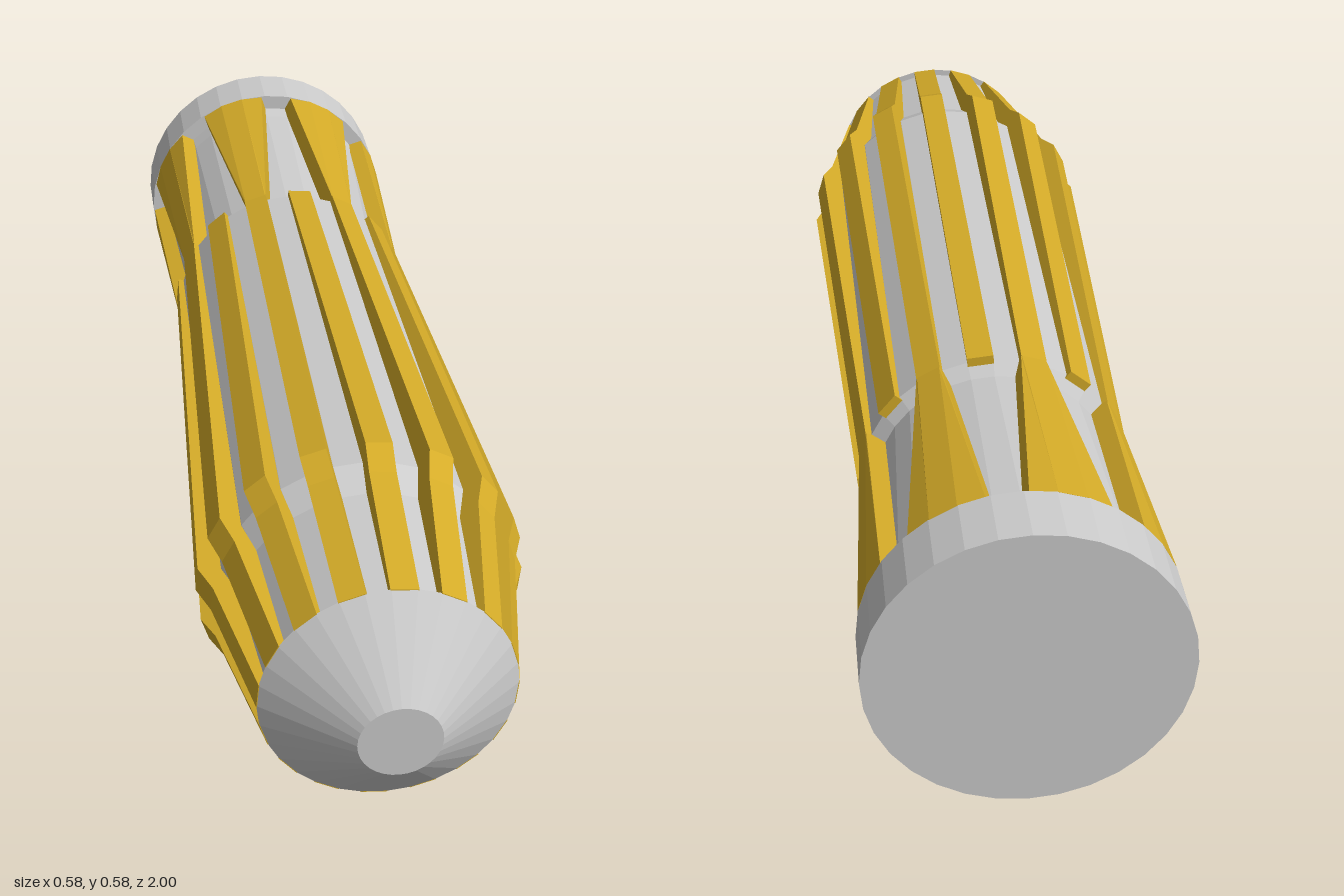
import * as THREE from 'three';

const grey = new THREE.MeshStandardMaterial({ color: 0xcccccc, flatShading: true });
const yellow = new THREE.MeshStandardMaterial({ color: 0xd4ab28, flatShading: true });
const AXIS_Y = 0.292;
const RIBS = 16;

// Turned solid along z; profile is [radius, z] from back to front
function turned(name, profile, sides = 32) {
  const pts = profile.map(([r, z]) => new THREE.Vector2(r, z));
  const geo = new THREE.LatheGeometry(pts, sides).rotateX(Math.PI / 2);
  const mesh = new THREE.Mesh(geo, grey);
  mesh.name = name;
  return mesh;
}

// Skin over cross-sections { z, pts } running front to back, pts counter-clockwise
function loft(sections) {
  const pos = [], index = [];
  const n = sections[0].pts.length;
  for (const { z, pts } of sections) for (const [x, y] of pts) pos.push(x, y, z);
  for (let s = 0; s < sections.length - 1; s++) {
    for (let j = 0; j < n; j++) {
      const a = s * n + j, b = s * n + (j + 1) % n;
      index.push(a, a + n, b + n, a, b + n, b);
    }
  }
  const last = (sections.length - 1) * n;
  for (let j = 1; j < n - 1; j++) {
    index.push(0, j, j + 1, last, last + j + 1, last + j);
  }
  const geo = new THREE.BufferGeometry();
  geo.setAttribute('position', new THREE.Float32BufferAttribute(pos, 3));
  geo.setIndex(index);
  const flat = geo.toNonIndexed();
  flat.computeVertexNormals();
  return flat;
}

export function createModel() {
  const model = new THREE.Group();
  model.name = 'ribbedPlug';
  const body = new THREE.Group();
  body.name = 'body';
  body.position.y = AXIS_Y;
  model.add(body);

  // Tapered tip, core with a lip behind the sleeve, and end collar
  body.add(turned('noseCone', [[0, 0.885], [0.218, 0.885], [0.07, 1], [0, 1]]));
  body.add(turned('core', [
    [0.24, -0.89], [0.235, -0.85], [0.213, -0.46], [0.236, -0.44],
    [0.25, 0.58], [0.228, 0.64], [0.205, 0.886],
  ]));
  body.add(turned('endCollar', [[0, -1], [0.27, -1], [0.27, -0.885], [0, -0.885]]));

  // Long ribs along the sleeve
  const w = 0.0235;
  const ribGeo = loft([[0.886, 0.217], [0.635, 0.268], [0.58, 0.29], [-0.445, 0.246]]
    .map(([z, r]) => ({ z, pts: [[-w, 0.17], [w, 0.17], [w, r], [-w, r]] })));

  // Rear ribs that widen towards the collar
  const flare = (z, top, side, r, sideR) => ({
    z,
    pts: [[-side, 0.17], [side, 0.17], [side, sideR], [top, r], [-top, r], [-side, sideR]],
  });
  const flareGeo = loft([
    flare(-0.44, 0.022, 0.0235, 0.246, 0.245),
    flare(-0.886, 0.025, 0.07, 0.269, 0.258),
  ]);

  for (let i = 0; i < RIBS; i++) {
    const angle = -(i + 0.25) * Math.PI * 2 / RIBS;
    const rib = new THREE.Mesh(ribGeo, yellow);
    rib.name = 'sleeveRib';
    rib.rotation.z = angle;
    body.add(rib);
    if (i % 2 === 1) {
      const rear = new THREE.Mesh(flareGeo, yellow);
      rear.name = 'flaredRib';
      rear.rotation.z = angle;
      body.add(rear);
    }
  }
  return model;
}
